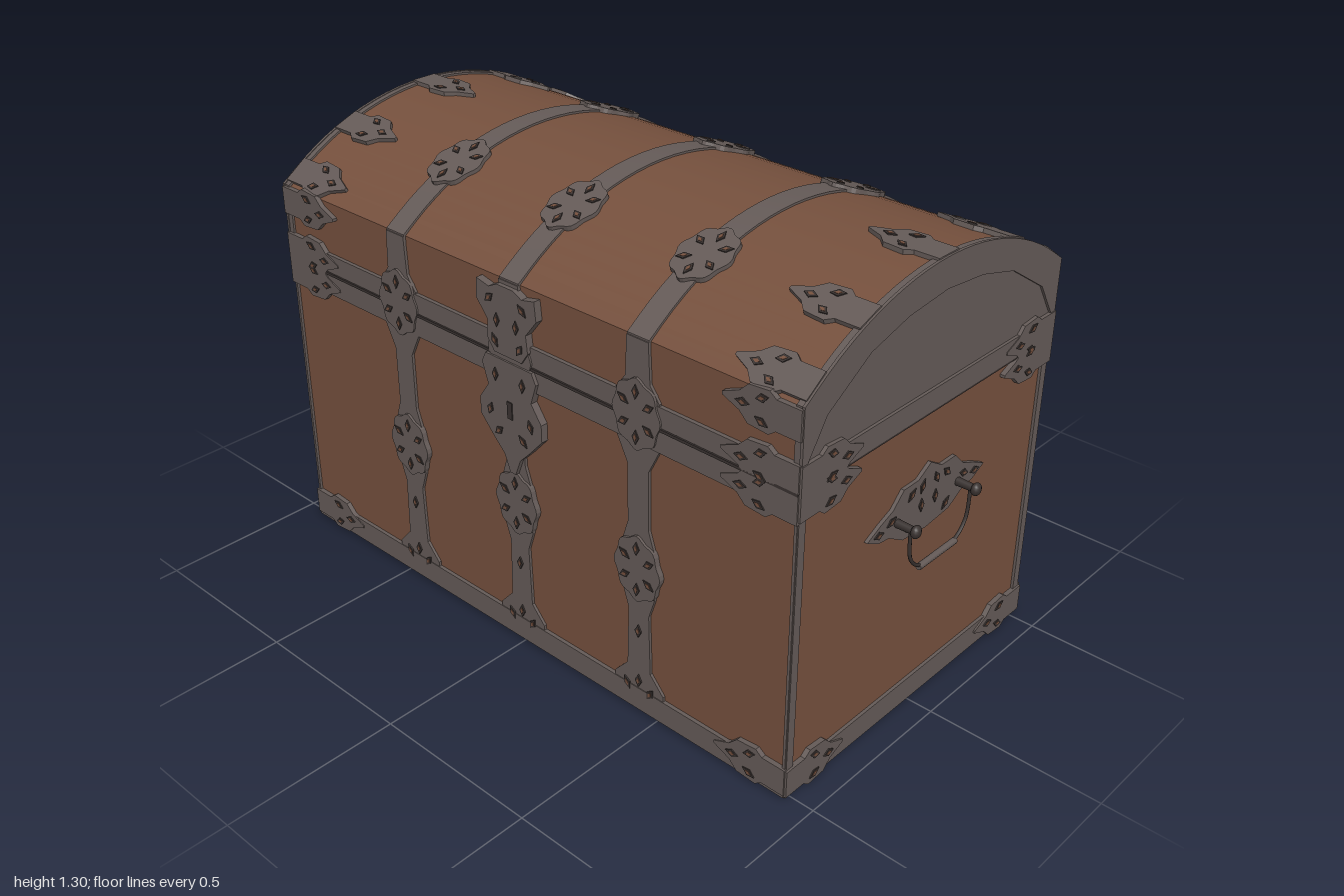
import * as THREE from 'three';
import { toCreasedNormals } from 'three/addons/utils/BufferGeometryUtils.js';

const mat = (name, color) => {
  const m = new THREE.MeshStandardMaterial({ color });
  m.name = name;
  return m;
};

export function createModel() {
  const wood = mat('brown wood', 0x75503d);
  const metal = mat('grey metal', 0x645a57);
  const dark = mat('dark metal', 0x38312f);
  const W = 0.92, D = 0.515;                       // half width, half depth of the wood
  const SEAM = 0.885, EAVE = 1.1, TOP = 1.28;      // lid heights
  const rise = TOP - EAVE;
  const R = (D * D + rise * rise) / (2 * rise), CY = TOP - R, HALF = Math.asin(D / R);

  const model = new THREE.Group();
  model.name = 'chest';

  const add = (parent, geo, material, name, x = 0, y = 0, z = 0, rz = 0) => {
    const mesh = new THREE.Mesh(geo, material);
    mesh.name = name;
    mesh.position.set(x, y, z);
    mesh.rotation.z = rz;
    parent.add(mesh);
    return mesh;
  };
  const toShape = pts => new THREE.Shape(pts.map(p => new THREE.Vector2(p[0], p[1])));
  const plate = (pts, t) => new THREE.ExtrudeGeometry(toShape(pts), { depth: t, bevelEnabled: false });
  // outlines mirrored in x or in y
  const mirrorX = pts => [...pts, ...pts.map(([x, y]) => [-x, y]).reverse()];
  const mirrorY = pts => [...pts, ...pts.map(([x, y]) => [x, -y]).reverse()];
  const group = (parent, name) => {
    const g = new THREE.Group();
    g.name = name;
    parent.add(g);
    return g;
  };

  // Ornament pieces
  const lozenge = (w, h, t) => plate([[w, 0], [0, h], [-w, 0], [0, -h]], t);
  const gemGeo = lozenge(0.011, 0.02, 0.004), coreGeo = lozenge(0.005, 0.01, 0.005);
  const gem = (g, x, y, z, rz = 0) => {
    add(g, gemGeo, dark, 'piercing edge', x, y, z, rz);
    add(g, coreGeo, wood, 'piercing', x, y, z, rz);
  };
  const oval = [];
  for (let i = 0; i < 48; i++) {
    const a = i / 48 * Math.PI * 2, r = 0.075 * (1 + 0.05 * Math.cos(8 * a));
    oval.push([r * Math.cos(a), r * 1.25 * Math.sin(a)]);
  }
  const ovalGeo = plate(oval, 0.016);
  const leafGeo = plate(mirrorY([[0, -0.04], [0.07, -0.04], [0.09, -0.055], [0.15, -0.05],
    [0.175, -0.025], [0.225, -0.004]]), 0.014);

  const medallion = (parent, x, y, z) => {
    const g = group(parent, 'medallion');
    g.position.set(x, y, z);
    add(g, ovalGeo, metal, 'medallion plate');
    for (let i = 0; i < 6; i++) {
      const a = (i + 0.5) / 6 * Math.PI * 2;
      gem(g, 0.047 * Math.cos(a), 0.062 * Math.sin(a), 0.015, a - Math.PI / 2);
    }
  };
  // Leaf mount pointing inwards from the end on side s
  const leaf = (parent, edge, s, y, z) => {
    const g = group(parent, 'leaf mount');
    g.position.set(s * edge, y, z);
    g.rotation.z = s > 0 ? Math.PI : 0;
    add(g, leafGeo, metal, 'leaf plate');
    for (const [px, py, r] of [[0.11, 0.03, 1.2], [0.11, -0.03, -1.2], [0.165, 0, 1.57]]) gem(g, px, py, 0.013, r);
  };

  // Lid section: flat sides up to the eaves, then an arc
  const section = (off, base) => {
    const pts = [[D + off, base]];
    for (let i = 0; i <= 24; i++) {
      const a = HALF * (1 - i / 12);
      pts.push([(R + off) * Math.sin(a) + (i === 0 ? off * 0.4 : i === 24 ? -off * 0.4 : 0), CY + (R + off) * Math.cos(a)]);
    }
    pts.push([-D - off, base]);
    return pts;
  };
  const alongX = (shape, w) => {
    const geo = new THREE.ExtrudeGeometry(shape, { depth: w, bevelEnabled: false });
    geo.translate(0, 0, -w / 2).rotateY(Math.PI / 2);
    return toCreasedNormals(geo, 0.5);
  };

  // Wooden body, seam and lid
  add(model, new THREE.BoxGeometry(W * 2, 0.875, D * 2), wood, 'body', 0, 0.4425, 0);
  add(model, new THREE.BoxGeometry(W * 2 - 0.02, 0.02, D * 2 - 0.02), dark, 'seam', 0, SEAM, 0);
  const lid = group(model, 'lid');
  add(lid, alongX(toShape(section(0, SEAM + 0.005)), W * 2), wood, 'lid shell');

  // Arched straps over the lid with their medallions
  const lidMount = theta => {
    const g = group(lid, 'lid mount');
    g.position.set(0, CY + R * Math.cos(theta), R * Math.sin(theta));
    g.rotation.x = theta - Math.PI / 2;
    return g;
  };
  for (const x of [-0.44, 0, 0.44]) {
    add(lid, alongX(toShape(section(0.006, 1.05)), 0.07), metal, 'lid strap', x);
    for (const s of [-1, 1]) medallion(lidMount(s * 0.355), x, 0, -0.005);
  }
  for (const s of [-1, 1]) {
    for (const t of [-0.61, -0.36, 0, 0.36, 0.61]) leaf(lidMount(t), W + 0.005, s, 0, -0.003);
    add(lid, alongX(toShape(section(0.006, SEAM + 0.005)), 0.018), metal, 'lid end rim', s * (W - 0.005));
    // Arched end panel frame
    const frame = toShape(section(0.008, SEAM + 0.005));
    const inner = [[D - 0.005, 0.947], [0.44, 1.055], [0.29, 1.15], [0.15, 1.188], [0, 1.203]];
    frame.holes.push(new THREE.Path(mirrorX(inner).map(p => new THREE.Vector2(p[0], p[1]))));
    add(lid, alongX(frame, 0.008), metal, 'end arch', s * (W + 0.007));
    add(lid, alongX(toShape(mirrorX([[D - 0.005, 0.946], [0.44, 1.055], [0.29, 1.15], [0.15, 1.188], [0, 1.203]])), 0.004),
      wood, 'lid end panel', s * (W + 0.001));
  }

  // Front and back: straps, bands, medallions and corner mounts
  const strap = mirrorX([[0.085, 0.01], [0.085, 0.09], [0.04, 0.14], [0.035, 0.32], [0.055, 0.38], [0.055, 0.52],
    [0.035, 0.58], [0.035, 0.75], [0.07, 0.82], [0.07, 0.95], [0.04, 0.99], [0.035, EAVE]]);
  const strapGeo = plate(strap, 0.008);
  for (const back of [false, true]) {
    const g = group(model, back ? 'backFittings' : 'frontFittings');
    g.rotation.y = back ? Math.PI : 0;
    for (const [y, h] of [[0.04, 0.07], [0.85, 0.06], [0.918, 0.055]])
      add(g, new THREE.BoxGeometry(W * 2 + 0.01, h, 0.012), metal, 'band', 0, y, D + 0.005);
    add(g, new THREE.BoxGeometry(W * 2 + 0.016, 0.008, 0.018), dark, 'seam lip', 0, SEAM, D + 0.005);
    for (const x of [-0.44, 0, 0.44]) {
      add(g, strapGeo, metal, 'strap', x, 0, D + 0.001);
      for (const y of [0.455, 0.9]) medallion(g, x, y, D);
      for (const [px, py, r] of [[-0.04, 0.075, 0.5], [0.04, 0.075, -0.5], [0, 0.1, 0], [0, 0.26, 0]])
        gem(g, x + px, py, D + 0.009, r);
    }
    for (const s of [-1, 1]) {
      for (const y of [0.055, 0.845, 0.92, 1.06]) leaf(g, W + 0.008, s, y, D);
      const w = back ? 0.06 : 0.008;
      add(g, new THREE.BoxGeometry(w, 0.86, 0.01), metal, 'corner strip', s * (W + 0.005 - w / 2), 0.44, D + 0.003);
    }
  }

  // Lock: hasp on the lid, pointed plate on the body
  const lock = group(model, 'lock');
  const hasp = [[0.05, 0.895], [0.075, 0.93], [0.07, 0.98], [0.11, 1.03], [0.105, 1.085], [0.06, 1.075], [0.03, 1.09]];
  const lockPlate = [[0.01, 0.55], [0.03, 0.6], [0.065, 0.635], [0.115, 0.69], [0.115, 0.74], [0.08, 0.79], [0.1, 0.85], [0.085, 0.88]];
  add(lock, plate(mirrorX(hasp), 0.021), metal, 'hasp', 0, 0, D);
  add(lock, plate(mirrorX(lockPlate), 0.021), metal, 'lock plate', 0, 0, D);
  for (const s of [-1, 1])
    for (const [x, y, r] of [[0.06, 1.045, 0.8], [0.035, 0.99, 0], [0.045, 0.93, -0.5], [0.075, 0.72, 0.3], [0.045, 0.665, 0.8], [0.05, 0.83, 0]])
      gem(lock, s * x, y, D + 0.02, s * r);
  add(lock, new THREE.BoxGeometry(0.018, 0.05, 0.004), dark, 'keyhole', 0, 0.74, D + 0.022);

  // Ends: bands, corner mounts, pierced handle plate and drop handle
  const handlePlate = mirrorX([[0, 0.545], [0.1, 0.555], [0.16, 0.59], [0.2, 0.595], [0.25, 0.62], [0.2, 0.645],
    [0.15, 0.665], [0.11, 0.705], [0.05, 0.705], [0, 0.735]]);
  const bail = new THREE.CatmullRomCurve3([[-0.13, 0.62, 0.05], [-0.12, 0.53, 0.05], [-0.08, 0.49, 0.05], [0, 0.482, 0.05],
    [0.08, 0.49, 0.05], [0.12, 0.53, 0.05], [0.13, 0.62, 0.05]].map(p => new THREE.Vector3(...p)));
  for (const s of [-1, 1]) {
    const g = group(model, s > 0 ? 'leftEnd' : 'rightEnd');
    g.rotation.y = s * Math.PI / 2;
    g.position.x = s * W;
    add(g, new THREE.BoxGeometry(D * 2 + 0.01, 0.07, 0.012), metal, 'base band', 0, 0.04, 0.003);
    add(g, new THREE.BoxGeometry(D * 2 + 0.01, 0.06, 0.012), metal, 'lid band', 0, 0.918, 0.006);
    add(g, new THREE.BoxGeometry(D * 2 + 0.016, 0.006, 0.016), dark, 'seam lip', 0, SEAM, 0.003);
    for (const e of [-1, 1]) {
      for (const y of [0.05, 0.852, 0.918]) leaf(g, D + 0.01, e, y, 0);
      add(g, new THREE.BoxGeometry(0.025, 0.86, 0.01), metal, 'corner strip', e * (D - 0.007), 0.44, 0.003);
    }
    const h = group(g, 'handle');
    add(h, plate(handlePlate, 0.01), metal, 'handle plate');
    for (const e of [-1, 1]) {
      for (const [x, y, r] of [[0.03, 0.625, 0], [0.075, 0.675, 0.8], [0.08, 0.58, -0.8], [0.155, 0.635, 1.2], [0.205, 0.62, 1.57], [0.03, 0.68, 0.4]])
        gem(h, e * x, y, 0.009, e * r);
      const post = add(h, new THREE.CylinderGeometry(0.01, 0.012, 0.06, 10), dark, 'handle post', e * 0.13, 0.62, 0.035);
      post.rotation.x = Math.PI / 2;
      const knob = add(h, new THREE.SphereGeometry(0.018, 10, 8), dark, 'handle knob', e * 0.13, 0.62, 0.066);
      knob.scale.z = 0.7;
    }
    add(h, new THREE.TubeGeometry(bail, 32, 0.005, 8), dark, 'handle bail');
    const grip = add(h, new THREE.CylinderGeometry(0.009, 0.009, 0.16, 8), metal, 'handle grip', 0, 0.484, 0.05);
    grip.rotation.z = Math.PI / 2;
  }

  // Metal corner shoes under the base
  for (const sx of [-1, 1]) for (const sz of [-1, 1]) {
    const shoe = plate([[0, 0], [0.2, 0], [0.17, 0.08], [0.08, 0.17], [0, 0.2]]
      .map(([x, z]) => [sx * (W + 0.005 - x), sz * (D + 0.005 - z)]), 0.008);
    shoe.rotateX(Math.PI / 2);
    add(model, shoe, metal, 'corner shoe', 0, 0.008, 0);
  }
  return model;
}
